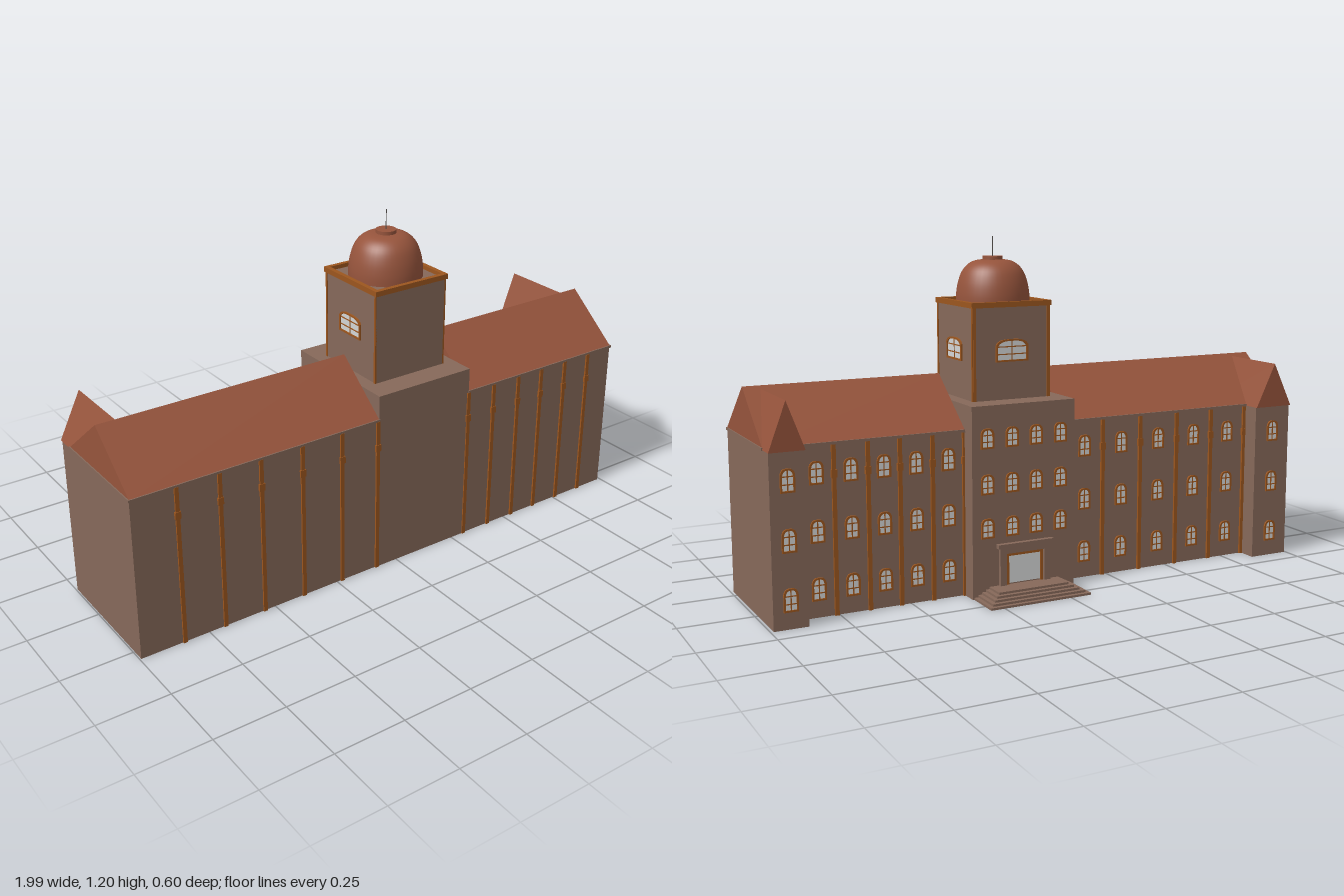
import * as THREE from 'three';

const mat = (name, color, side = THREE.FrontSide) => {
  const m = new THREE.MeshStandardMaterial({ color, side });
  m.name = name;
  return m;
};

export function createModel() {
  const model = new THREE.Group();
  model.name = 'building';
  const wall = mat('wall', 0x86695a);
  const roof = mat('roofTile', 0x96543c);
  const trim = mat('trim', 0x9c561f);
  const glass = mat('glass', 0xd4d6d6, THREE.DoubleSide);
  const metal = mat('metal', 0x55504c);

  const add = (name, geo, material, parent = model) => {
    const m = new THREE.Mesh(geo, material);
    m.name = name;
    parent.add(m);
    return m;
  };
  // Box given by its extents on each axis
  const box = (name, material, x0, x1, y0, y1, z0, z1, parent = model) => {
    const m = add(name, new THREE.BoxGeometry(x1 - x0, y1 - y0, z1 - z0), material, parent);
    m.position.set((x0 + x1) / 2, (y0 + y1) / 2, (z0 + z1) / 2);
    return m;
  };
  // Triangular prism extruded along z
  const prism = (a, b, apex, base, top, depth) => new THREE.ExtrudeGeometry(
    new THREE.Shape([new THREE.Vector2(a, base), new THREE.Vector2(b, base), new THREE.Vector2(apex, top)]),
    { depth, bevelEnabled: false });

  // Segmental-arched outline centred on the origin
  const arch = (Path, w, h, rise) => {
    const p = new Path();
    p.moveTo(-w / 2, -h / 2);
    p.lineTo(w / 2, -h / 2);
    p.lineTo(w / 2, h / 2 - rise);
    p.bezierCurveTo(w * 0.42, h / 2, w * 0.2, h / 2, 0, h / 2);
    p.bezierCurveTo(-w * 0.2, h / 2, -w * 0.42, h / 2, -w / 2, h / 2 - rise);
    p.closePath();
    return p;
  };
  // Arched window facing +z: pane, frame and glazing bars
  const makeWindow = (w, h, f, cols, rows) => {
    const g = new THREE.Group();
    g.name = 'window';
    const rise = h * 0.25;
    add('pane', new THREE.ShapeGeometry(arch(THREE.Shape, w - f, h - f, rise), 6), glass, g).position.z = 0.002;
    const ring = arch(THREE.Shape, w, h, rise);
    ring.holes.push(arch(THREE.Path, w - 2 * f, h - 2 * f, rise));
    add('frame', new THREE.ExtrudeGeometry(ring, { depth: 0.006, bevelEnabled: false, curveSegments: 6 }), trim, g);
    const t = f * 0.3;
    for (let i = 1; i < cols; i++) {
      const x = -w / 2 + (w * i) / cols;
      box('verticalBar', trim, x - t, x + t, -h / 2 + f, h / 2 - f, 0, 0.004, g);
    }
    for (let i = 1; i < rows; i++) {
      const y = -h / 2 + (h * i) / rows;
      box('horizontalBar', trim, -w / 2 + f, w / 2 - f, y - t, y + t, 0, 0.004, g);
    }
    return g;
  };
  const place = (win, x, y, z, angle) => {
    win.position.set(x, y, z);
    win.rotation.y = angle;
    model.add(win);
  };
  const backWindow = (x, y, z, w = 0.048, h = 0.076) => place(makeWindow(w, h, 0.006, 2, 3), x, y, z, Math.PI);

  // Wings, end pavilions and their roofs
  const FRONT = 0.295, BACK = -0.105, PAV = -0.175, EAVE = 0.57;
  const rowsY = [0.095, 0.285, 0.475];
  const wings = [
    { x0: -0.995, x1: -0.08, p0: -0.995, p1: -0.845, pipes: [-0.84, -0.69, -0.54, -0.385, -0.23, -0.085] },
    { x0: 0.305, x1: 0.99, p0: 0.875, p1: 0.99, pipes: [0.305, 0.42, 0.535, 0.645, 0.76, 0.875] },
  ];
  for (const { x0, x1, p0, p1, pipes } of wings) {
    box('wing', wall, x0, x1, 0, EAVE, BACK, FRONT);
    box('pavilion', wall, p0, p1, 0, EAVE, PAV, BACK);
    const main = add('wingRoof', prism(-0.298, 0.115, -0.095, EAVE, 0.735, x1 - x0), roof);
    main.rotation.y = Math.PI / 2;
    main.position.x = x0;
    const pc = (p0 + p1) / 2;
    add('pavilionRoof', prism(p0 - 0.002, p1 + 0.002, pc, EAVE - 0.004, 0.725, 0.262), roof).position.z = -0.182;
    // Eave mouldings
    box('eave', wall, x0 - 0.004, x1 + 0.004, 0.563, 0.572, -0.118, 0.3);
    // Drainpipes on both long walls, with collars
    pipes.forEach((x, i) => {
      box('frontPipe', trim, x - 0.007, x + 0.007, 0, 0.565, FRONT, 0.301);
      box('frontPipeCollar', trim, x - 0.01, x + 0.01, 0.455, 0.48, FRONT, 0.303);
      box('backPipe', trim, x - 0.007, x + 0.007, 0, 0.565, BACK - 0.008, BACK);
      box('backPipeCollar', trim, x - 0.01, x + 0.01, 0.455, 0.48, BACK - 0.01, BACK);
      if (i) for (const y of rowsY) backWindow((x + pipes[i - 1]) / 2, y, BACK);
    });
    for (const y of rowsY) backWindow(pc, y, PAV);
  }

  // Central block
  const CX = 0.1125, CZ = 0.065;
  box('centralBlock', wall, -0.08, 0.305, 0, 0.655, -0.17, 0.297);
  for (const x of [-0.025, 0.068, 0.158, 0.25])
    for (const y of [0.24, 0.39, 0.545]) backWindow(x, y, -0.17, 0.048, 0.068);

  // Entrance steps, receding on three sides
  for (let i = 0; i < 5; i++) {
    const s = i * 0.014;
    box('step', wall, -0.075 + s, 0.3 - s, i * 0.0075, (i + 1) * 0.0075, -0.3 + s, -0.17);
  }

  // Entrance portal
  for (const s of [-1, 1]) {
    const x = CX + s * 0.083;
    box('portalPilaster', wall, x - 0.012, x + 0.012, 0.037, 0.165, -0.182, -0.17);
  }
  box('portalLintel', wall, CX - 0.095, CX + 0.095, 0.147, 0.168, -0.182, -0.17);
  box('portalCornice', wall, CX - 0.105, CX + 0.105, 0.168, 0.182, -0.188, -0.17);
  box('doorGlass', glass, CX - 0.062, CX + 0.062, 0.042, 0.138, -0.173, -0.17);
  for (const s of [-1, 1]) {
    const x = CX + s * 0.065;
    box('doorJamb', trim, x - 0.005, x + 0.005, 0.037, 0.147, -0.176, -0.17);
  }
  box('doorHead', trim, CX - 0.07, CX + 0.07, 0.137, 0.147, -0.176, -0.17);

  // Tower with corner strips, windows on three sides and a raised cornice
  const H = 0.144;
  box('tower', wall, CX - H, CX + H, 0.655, 0.972, CZ - H, CZ + H);
  for (const s of [-1, 1]) {
    for (const t of [-1, 1]) {
      const x = CX + s * H, z = CZ + t * (H - 0.004);
      box('cornerStrip', trim, x - 0.003, x + 0.003, 0.655, 0.97, z - 0.004, z + 0.004);
    }
    const x = CX + s * (H - 0.005);
    box('backCornerStrip', trim, x - 0.005, x + 0.005, 0.655, 0.97, CZ - H - 0.003, CZ - H);
    place(makeWindow(0.12, 0.076, 0.006, 2, 3), CX + s * H, 0.822, CZ, s * Math.PI / 2);
    box('corniceSide', trim, CX + s * 0.142 - 0.008, CX + s * 0.142 + 0.008, 0.968, 0.986, CZ - 0.15, CZ + 0.15);
    box('corniceEnd', trim, CX - 0.134, CX + 0.134, 0.968, 0.986, CZ + s * 0.142 - 0.008, CZ + s * 0.142 + 0.008);
  }
  place(makeWindow(0.12, 0.076, 0.006, 2, 3), CX, 0.822, CZ - H, Math.PI);

  // Dome, cap and spire
  const profile = new THREE.SplineCurve([[0.127, 0.972], [0.126, 1.005], [0.119, 1.045], [0.104, 1.083],
    [0.08, 1.108], [0.05, 1.119], [0, 1.121]].map(([r, y]) => new THREE.Vector2(r, y)));
  const points = profile.getPoints(24);
  points[24].x = 0;
  add('dome', new THREE.LatheGeometry(points, 40), roof).position.set(CX, 0, CZ);
  add('domeCap', new THREE.CylinderGeometry(0.035, 0.035, 0.016, 32), roof).position.set(CX, 1.124, CZ);
  add('spire', new THREE.CylinderGeometry(0.0015, 0.0015, 0.07, 8), metal).position.set(CX, 1.165, CZ);

  return model;
}
